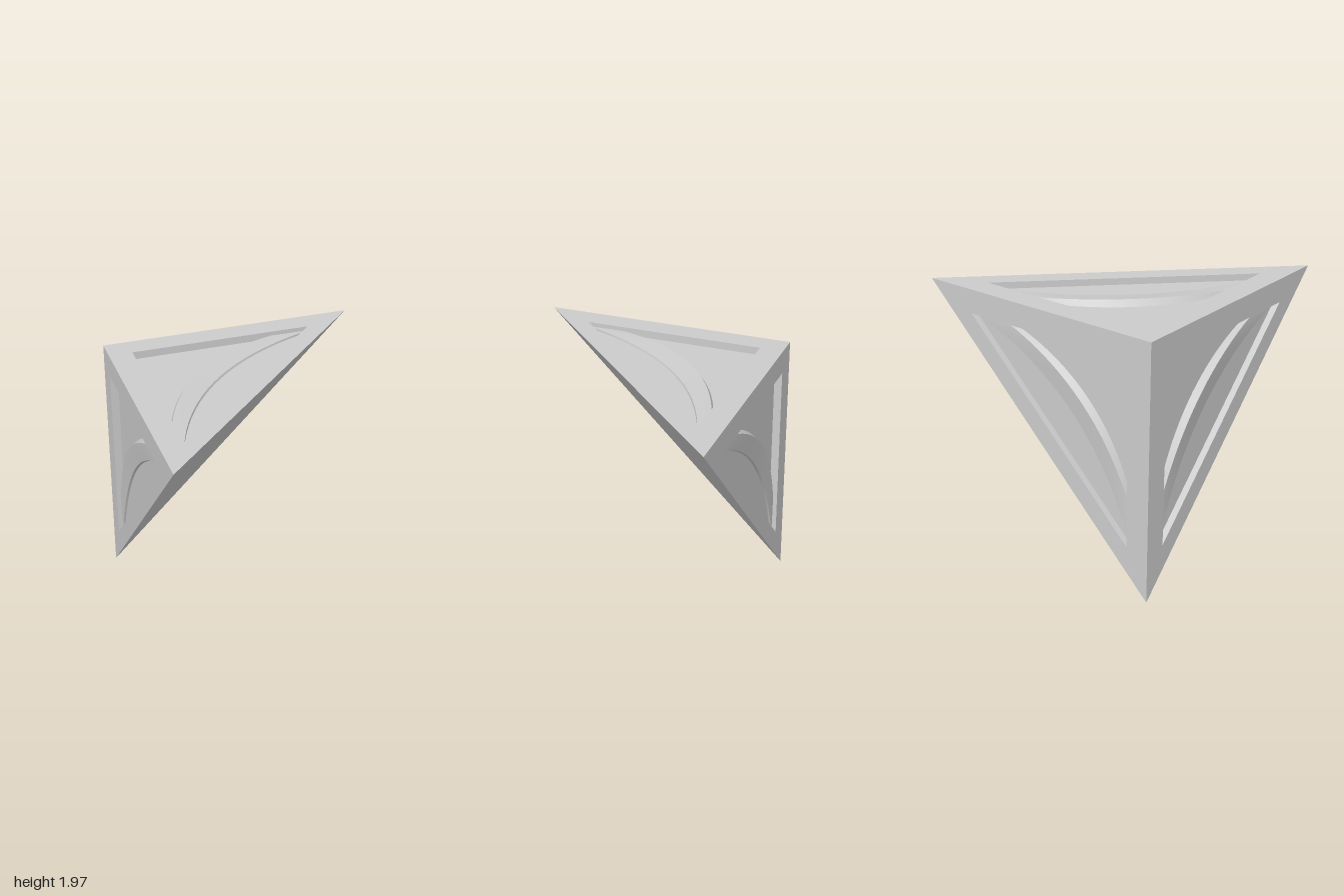
import * as THREE from 'three';

const material = new THREE.MeshStandardMaterial({ color: 0xcccccc, side: THREE.DoubleSide });
const V2 = (x, y) => new THREE.Vector2(x, y);

// Face layout: right-angled triangle with an inset panel
const LEG = 1.96, NEAR = 0.18, FAR = 1.58, STEPS = 32;
const FLOOR = 0.06, SEGMENT = 0.05;

// Surface between two matching rows of points
function strip(p, q) {
  const pos = [], index = [];
  p.forEach((a, i) => {
    pos.push(...a.toArray(), ...q[i].toArray());
    if (i) {
      const k = 2 * i;
      index.push(k - 2, k, k - 1, k, k + 1, k - 1);
    }
  });
  const g = new THREE.BufferGeometry();
  g.setAttribute('position', new THREE.Float32BufferAttribute(pos, 3));
  g.setIndex(index);
  return g;
}

// Arc across the panel, symmetric about the diagonal
const arc = (near, far, control) =>
  new THREE.QuadraticBezierCurve(V2(near, far), V2(control, control), V2(far, near)).getPoints(STEPS);

// Give flat points a depth, which may vary from end (-1) to end (1)
const sink = (points, depth) => points.map((p, i) => {
  const t = 2 * i / (points.length - 1) - 1;
  return new THREE.Vector3(p.x, p.y, -(typeof depth === 'function' ? depth(t) : depth));
});

// One face with its recessed panel, curved rib and step
function panelFace(name, origin, endA, endB) {
  const group = new THREE.Group();
  group.name = name;
  const a = endA.clone().sub(origin).divideScalar(LEG);
  const b = endB.clone().sub(origin).divideScalar(LEG);
  const n = a.clone().cross(b).normalize();
  const matrix = new THREE.Matrix4().makeBasis(a, b, n).setPosition(origin);
  const add = (part, geometry) => {
    geometry.applyMatrix4(matrix);
    geometry.computeVertexNormals();
    const mesh = new THREE.Mesh(geometry, material);
    mesh.name = part;
    group.add(mesh);
  };

  const corner = V2(NEAR, NEAR), endT = V2(NEAR, FAR), endS = V2(FAR, NEAR);
  const foot = arc(NEAR, 1.25, 0.43);
  const lip = arc(NEAR, 1.28, 0.46);
  const outer = arc(NEAR, FAR, 0.52);
  const chord = outer.map((_, i) => endT.clone().lerp(endS, i / STEPS));

  // Border
  const border = new THREE.Shape([V2(0, 0), V2(LEG, 0), V2(0, LEG)]);
  border.holes.push(new THREE.Path([corner, endT, endS]));
  add('frame', new THREE.ShapeGeometry(border));

  // Sunken floor next to the corner
  const floor = new THREE.ShapeGeometry(new THREE.Shape([corner, ...foot.slice().reverse()]));
  add('panelFloor', floor.translate(0, 0, -FLOOR));

  // Walls along the two legs and the long side
  [[endT, corner], [corner, endS]].forEach((side) =>
    add('legWall', strip(sink(side, 0), sink(side, FLOOR))));
  add('longWall', strip(sink(chord, SEGMENT), sink(chord, 0)));

  // Curved rib: rises from the floor, slopes back, then steps down
  const lipEdge = sink(lip, (t) => 0.012 + 0.02 * t * t);
  add('ribWall', strip(sink(foot, FLOOR), lipEdge));
  add('ribSlope', strip(lipEdge, sink(outer, 0.035)));
  const inset = outer.map((p, i) => p.clone().lerp(chord[i], 0.03));
  add('ribStep', strip(sink(outer, 0.035), sink(inset, SEGMENT)));
  add('segmentFloor', strip(sink(inset, SEGMENT), sink(chord, SEGMENT)));
  return group;
}

export function createModel() {
  const model = new THREE.Group();
  model.name = 'cornerBlock';
  const corner = new THREE.Vector3(-0.983, 1.965, -0.967);
  const left = new THREE.Vector3(0.983, 1.97, -0.967);
  const front = new THREE.Vector3(-0.983, 1.935, 1);
  const bottom = new THREE.Vector3(-0.983, 0, -1);

  // Three panelled faces meeting at the corner
  model.add(panelFace('topFace', corner, front, left));
  model.add(panelFace('backFace', corner, left, bottom));
  model.add(panelFace('sideFace', corner, bottom, front));

  // Plain slanted face closing the block
  const slope = new THREE.BufferGeometry().setFromPoints([left, front, bottom]);
  slope.computeVertexNormals();
  const mesh = new THREE.Mesh(slope, material);
  mesh.name = 'slantedFace';
  model.add(mesh);
  return model;
}
